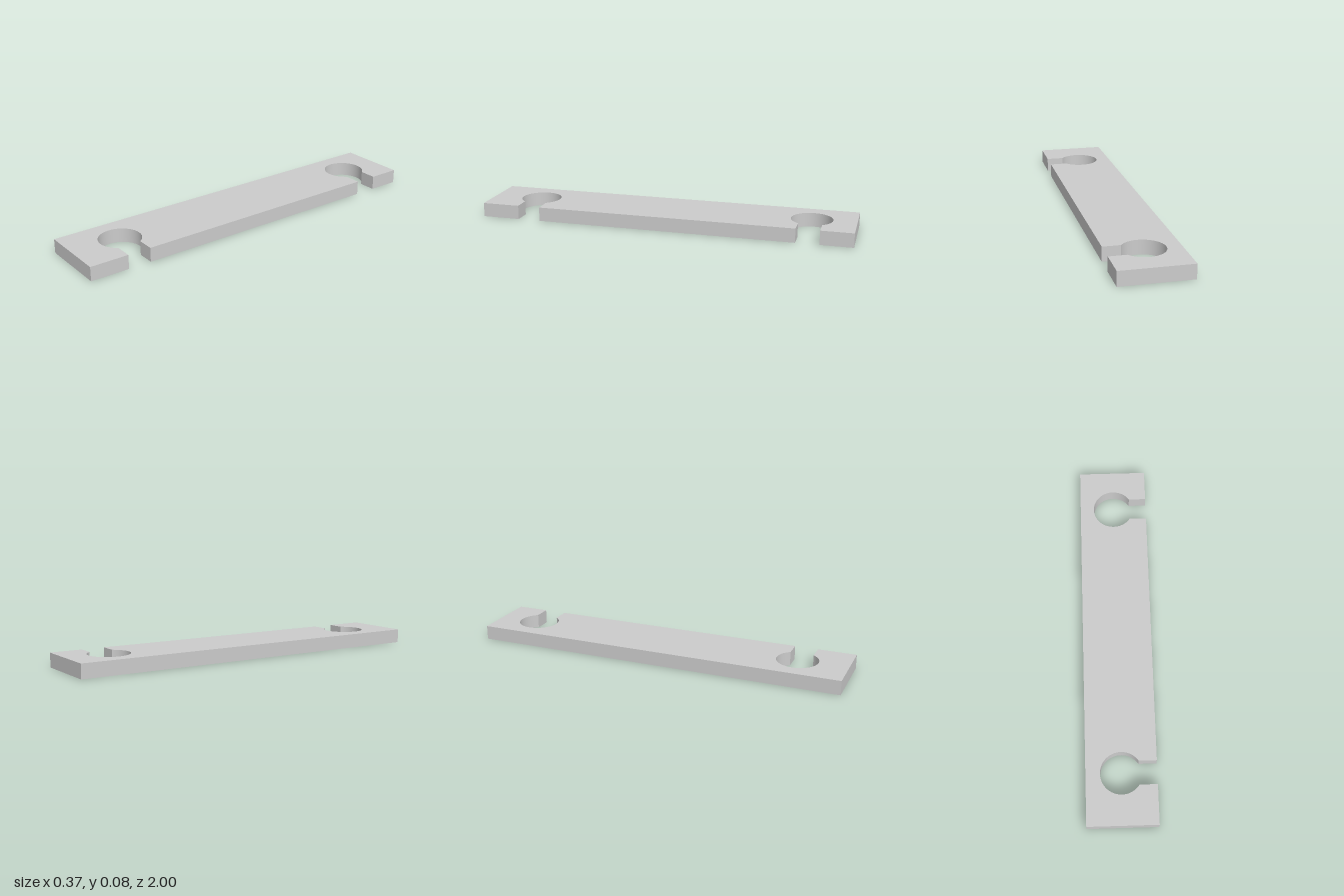
import * as THREE from 'three';

const HALF_WIDTH = 0.183, HALF_LENGTH = 1, THICKNESS = 0.075;
const HOLE_RADIUS = 0.109, SLOT_HALF = 0.061;
const HOLE_Z = [0.735, -0.769]; // front hole, back hole

export function createModel() {
  const group = new THREE.Group();
  group.name = 'slottedPlate';

  // Plan outline, counter-clockwise, with outline y = -z
  const outline = new THREE.Shape();
  outline.moveTo(-HALF_WIDTH, -HALF_LENGTH);
  outline.lineTo(HALF_WIDTH, -HALF_LENGTH);

  // Round holes opening through straight slots on the left edge
  const mouth = Math.asin(SLOT_HALF / HOLE_RADIUS);
  const mouthX = HOLE_RADIUS * Math.cos(mouth);
  for (const z of HOLE_Z) {
    outline.lineTo(HALF_WIDTH, -z - SLOT_HALF);
    outline.lineTo(mouthX, -z - SLOT_HALF);
    outline.absarc(0, -z, HOLE_RADIUS, -mouth, mouth, true);
    outline.lineTo(HALF_WIDTH, -z + SLOT_HALF);
  }
  outline.lineTo(HALF_WIDTH, HALF_LENGTH);
  outline.lineTo(-HALF_WIDTH, HALF_LENGTH);
  outline.closePath();

  // Flat plate lying on the ground
  const geometry = new THREE.ExtrudeGeometry(outline, {
    depth: THICKNESS, bevelEnabled: false, curveSegments: 48,
  });
  geometry.rotateX(-Math.PI / 2);

  // Smooth the curved hole walls; their normals point toward each hole centre
  const pos = geometry.attributes.position, nor = geometry.attributes.normal;
  for (let i = 0; i < pos.count; i++) {
    if (Math.abs(nor.getY(i)) > 0.5) continue;
    for (const z of HOLE_Z) {
      const dx = -pos.getX(i), dz = z - pos.getZ(i), r = Math.hypot(dx, dz);
      const facing = (dx * nor.getX(i) + dz * nor.getZ(i)) / r;
      if (Math.abs(r - HOLE_RADIUS) < 1e-4 && facing > 0.95) {
        nor.setXYZ(i, dx / r, 0, dz / r);
      }
    }
  }

  const plate = new THREE.Mesh(geometry, new THREE.MeshStandardMaterial({ color: 0xcccccc }));
  plate.name = 'plate';
  group.add(plate);
  return group;
}
